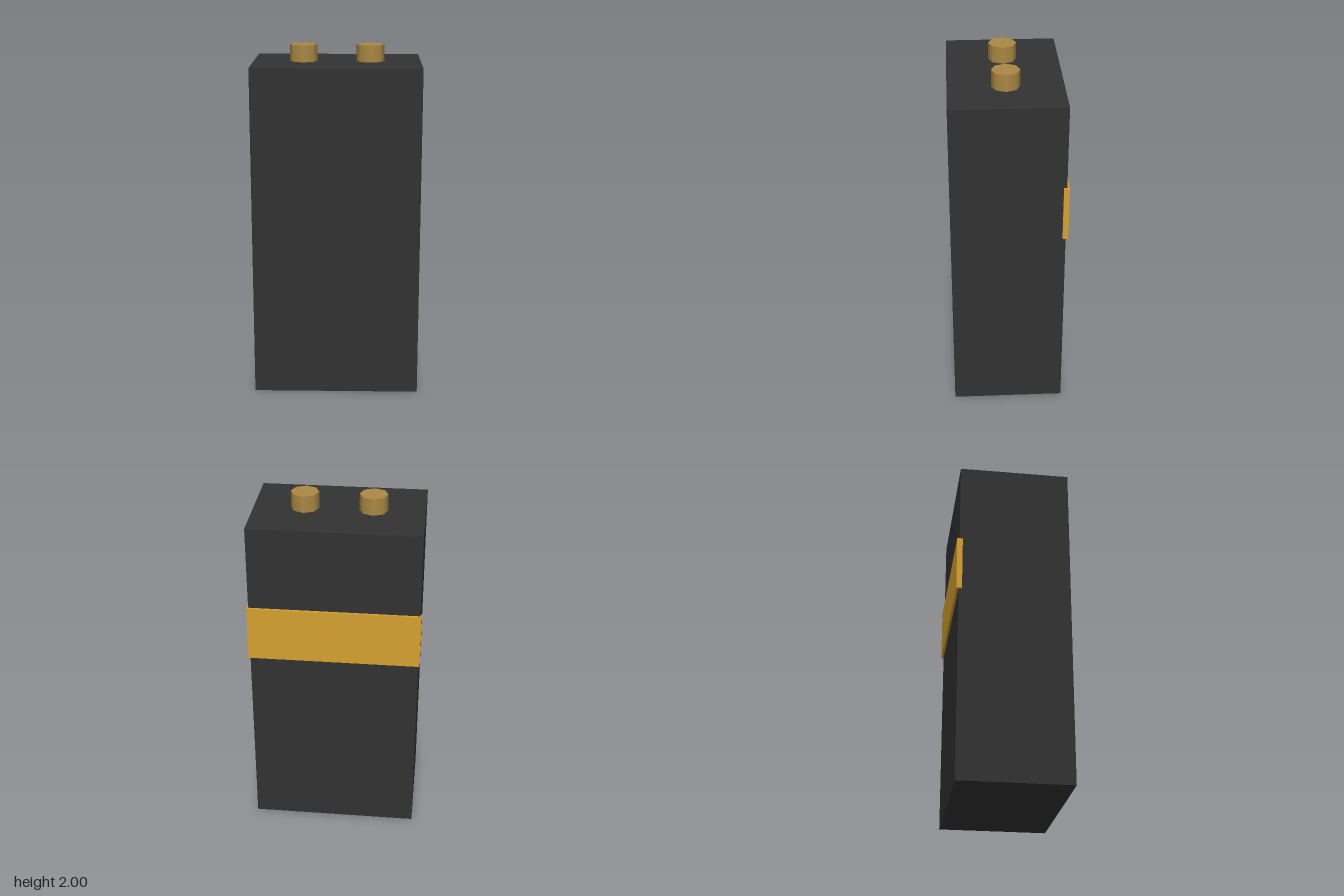
import * as THREE from 'three';

export function createModel() {
  const group = new THREE.Group();
  const material = (name, color) => {
    const m = new THREE.MeshStandardMaterial({ color });
    m.name = name;
    return m;
  };
  const black = material('casing black', 0x323232);
  const gold = material('band gold', 0xd4a030);
  const brass = material('terminal brass', 0xaa8844);

  const add = (name, geometry, mat, x, y, z) => {
    const mesh = new THREE.Mesh(geometry, mat);
    mesh.name = name;
    mesh.position.set(x, y, z);
    group.add(mesh);
  };

  // Upright rectangular casing
  const centreZ = 0.0065;
  add('casing', new THREE.BoxGeometry(0.952, 1.905, 0.635), black, 0, 0.9525, centreZ);

  // Band across the back, wrapping slightly past both sides
  add('backBand', new THREE.BoxGeometry(0.968, 0.317, 0.032), gold, 0, 1.27, -0.309);

  // Pair of eight-sided terminals on top
  const terminal = new THREE.CylinderGeometry(0.079, 0.079, 0.095, 8);
  for (const [name, side] of [['leftTerminal', 1], ['rightTerminal', -1]]) {
    add(name, terminal, brass, side * 0.19, 1.9525, centreZ);
  }

  return group;
}
